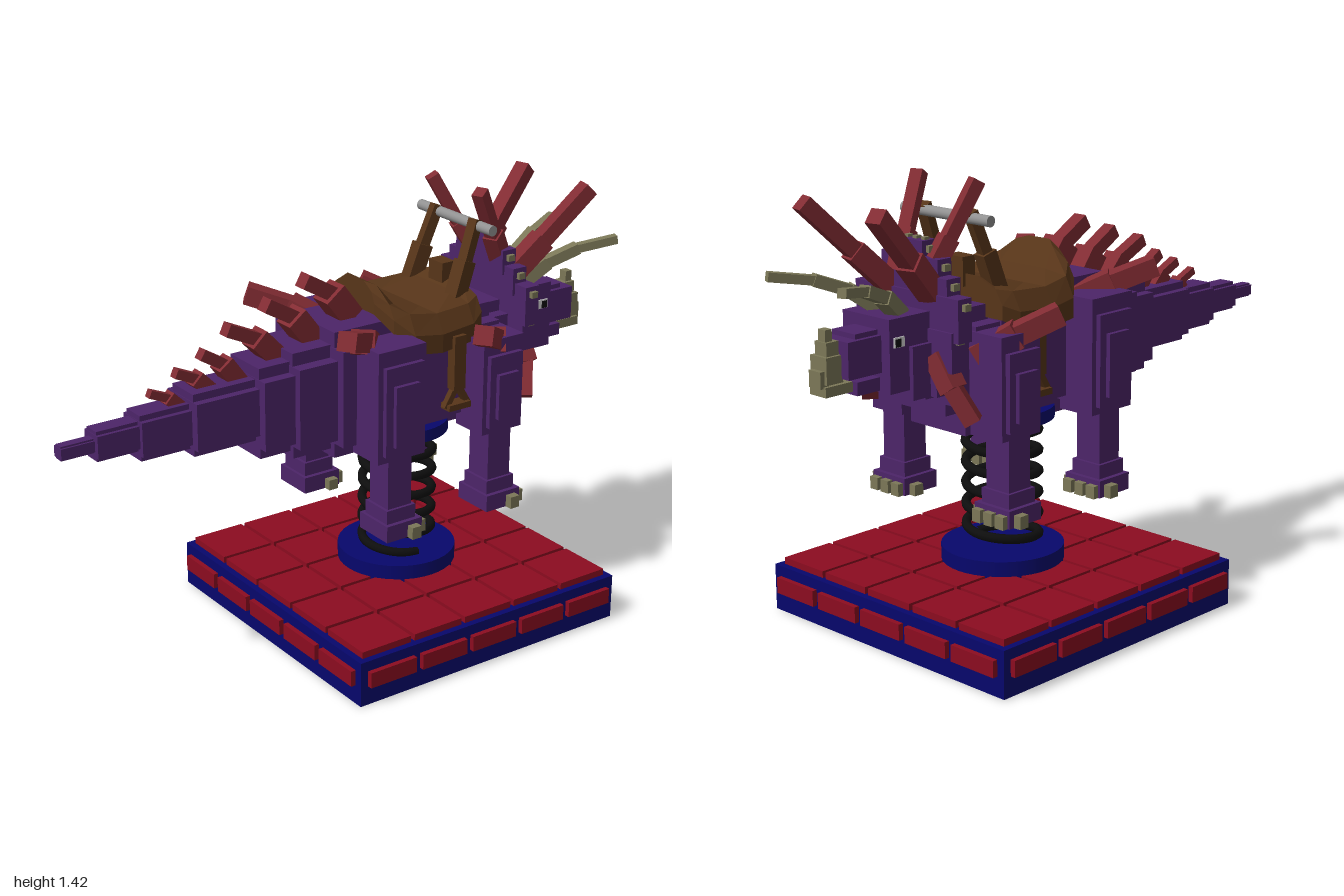
import * as THREE from 'three';

const mat = (name, color, extra = {}) => Object.assign(new THREE.MeshStandardMaterial({ color, ...extra }), { name });

export function createModel() {
  const root = new THREE.Group();
  root.name = 'springRider';
  const purple = mat('purple hide', 0x4d2569), red = mat('red spikes', 0x822c33), tile = mat('red tiles', 0x8c0c20);
  const blue = mat('blue base', 0x07076c), brown = mat('brown leather', 0x573519, { side: THREE.DoubleSide });
  const bone = mat('bone', 0x7c7858), grey = mat('grey metal', 0x929292);
  const black = mat('black steel', 0x0e0e0e), white = mat('eye white', 0xd8d8d8);

  const add = (name, geo, m, x = 0, y = 0, z = 0) => {
    const mesh = new THREE.Mesh(geo, m);
    mesh.name = name;
    mesh.position.set(x, y, z);
    root.add(mesh);
    return mesh;
  };
  // box from its limits on each axis
  const box = (name, m, x0, x1, y0, y1, z0, z1) =>
    add(name, new THREE.BoxGeometry(Math.abs(x1 - x0), y1 - y0, Math.abs(z1 - z0)), m, (x0 + x1) / 2, (y0 + y1) / 2, (z0 + z1) / 2);
  // the same box on both sides
  const pair = (name, m, x0, x1, ...r) => [-1, 1].forEach(s => box(name, m, s * x0, s * x1, ...r));
  // chain of shrinking bars through points [x, y, z, width]
  const spike = (name, m, pts, s = 1) => {
    for (let i = 0; i < pts.length - 1; i++) {
      const a = new THREE.Vector3(pts[i][0] * s, pts[i][1], pts[i][2]);
      const b = new THREE.Vector3(pts[i + 1][0] * s, pts[i + 1][1], pts[i + 1][2]);
      const w = pts[i][3];
      const mesh = add(name, new THREE.BoxGeometry(w, w, a.distanceTo(b) + 0.008), m);
      mesh.position.copy(a).add(b).multiplyScalar(0.5);
      mesh.lookAt(b);
    }
  };
  const spikes = (name, m, pts) => [-1, 1].forEach(s => spike(name, m, pts, s));

  // tiled base
  const cz = -0.225;
  box('base', blue, -0.51, 0.51, 0, 0.15, cz - 0.51, cz + 0.51);
  for (let i = -2; i <= 2; i++) {
    const p = i * 0.198;
    for (let j = -2; j <= 2; j++)
      box('topTile', tile, p - 0.092, p + 0.092, 0.15, 0.172, cz + j * 0.198 - 0.092, cz + j * 0.198 + 0.092);
    for (const s of [-1, 1]) {
      box('sideTile', tile, s * 0.51, s * 0.527, 0.064, 0.116, cz + p - 0.087, cz + p + 0.087);
      box('sideTile', tile, p - 0.087, p + 0.087, 0.064, 0.116, cz + s * 0.51, cz + s * 0.527);
    }
  }

  // spring between two discs
  add('lowerDisc', new THREE.CylinderGeometry(0.195, 0.195, 0.06, 40), blue, 0, 0.19, cz);
  add('upperDisc', new THREE.CylinderGeometry(0.165, 0.165, 0.04, 40), blue, 0, 0.655, cz);
  const coil = [];
  for (let i = 0; i <= 144; i++) {
    const a = (i / 144) * Math.PI * 2 * 6;
    coil.push(new THREE.Vector3(Math.cos(a) * 0.115, 0.225 + 0.41 * i / 144, cz + Math.sin(a) * 0.115));
  }
  add('spring', new THREE.TubeGeometry(new THREE.CatmullRomCurve3(coil), 300, 0.015, 8), black);

  // body and tail in stepped slices: z from, z to, half width, y low, y high
  const slices = [
    [0.88, 1.0, 0.022, 0.82, 0.865], [0.74, 0.89, 0.04, 0.795, 0.89], [0.57, 0.75, 0.055, 0.765, 0.91],
    [0.35, 0.58, 0.085, 0.745, 0.945], [0.24, 0.36, 0.115, 0.69, 0.985], [0.1, 0.25, 0.14, 0.67, 1.015],
    [-0.12, 0.11, 0.17, 0.645, 1.06], [-0.4, -0.11, 0.175, 0.665, 1.05], [-0.5, -0.39, 0.17, 0.65, 1.04],
    [-0.56, -0.49, 0.14, 0.72, 1.03], [-0.62, -0.55, 0.11, 0.78, 1.0]];
  for (const [z0, z1, w, y0, y1] of slices) {
    const h = (y1 - y0) * 0.12;
    box('body', purple, -w, w, y0 + h, y1 - h, z0, z1);
    box('body', purple, -w * 0.7, w * 0.7, y0, y1, z0 + 0.002, z1 - 0.002);
  }

  // legs, feet and claws
  for (const [z, hind] of [[-0.03, 1], [-0.428, 0]]) {
    const t = hind ? 1.03 : 0.98, d = hind ? 0.09 : 0.08;
    pair('thigh', purple, 0.15, 0.283, 0.665, t, z - d, z + d);
    pair('thigh', purple, 0.16, 0.3, 0.69, t - 0.05, z - d * 0.8, z + d * 0.8);
    pair('thigh', purple, 0.17, 0.315, 0.72, t - 0.11, z - d * 0.5, z + d * 0.5);
    pair('shin', purple, 0.18, 0.275, 0.49, 0.69, z - 0.045, z + 0.045);
    pair('ankle', purple, 0.17, 0.285, 0.45, 0.5, z - 0.055, z + 0.055);
    pair('foot', purple, 0.155, 0.3, 0.4, 0.455, z - 0.07, z + 0.065);
    for (const x of [0.18, 0.228, 0.276])
      pair('claw', bone, x - 0.017, x + 0.017, 0.4, 0.44, z - 0.09, z - 0.06);
    pair('claw', bone, 0.295, 0.326, 0.4, 0.44, z - 0.05, z - 0.015);
    pair('claw', bone, 0.13, 0.16, 0.4, 0.435, z - 0.05, z - 0.015);
  }

  // head, snout and beak
  box('head', purple, -0.1, 0.1, 0.83, 1.05, -0.775, -0.58);
  box('cheek', purple, -0.115, 0.115, 0.8, 0.96, -0.7, -0.58);
  box('snout', purple, -0.065, 0.065, 0.89, 1.0, -0.9, -0.76);
  box('nose', purple, -0.05, 0.05, 0.93, 1.015, -0.86, -0.76);
  box('jaw', purple, -0.055, 0.055, 0.835, 0.875, -0.86, -0.7);
  box('upperBeak', bone, -0.035, 0.035, 0.88, 0.96, -0.955, -0.895);
  box('beakTip', bone, -0.025, 0.025, 0.87, 0.92, -0.97, -0.94);
  box('lowerBeak', bone, -0.035, 0.035, 0.845, 0.875, -0.96, -0.85);
  box('noseHorn', bone, -0.025, 0.025, 0.96, 1.0, -0.945, -0.9);
  box('noseHorn', bone, -0.015, 0.015, 1.0, 1.035, -0.94, -0.915);
  pair('eyeWhite', white, 0.1, 0.104, 0.965, 0.995, -0.76, -0.72);
  pair('pupil', black, 0.103, 0.107, 0.967, 0.99, -0.755, -0.735);

  // stepped neck frill with studs: half width, y low, y high, z centre
  for (const [w, y0, y1, z] of [[0.05, 1.18, 1.245, -0.57], [0.12, 1.12, 1.2, -0.575], [0.165, 1.06, 1.15, -0.583],
    [0.22, 0.97, 1.1, -0.592], [0.2, 0.88, 1.0, -0.6], [0.14, 0.8, 0.9, -0.605]]) {
    box('frill', purple, -w, w, y0, y1, z - 0.027, z + 0.027);
    pair('frillStud', bone, w - 0.005, w + 0.014, y1 - 0.035, y1 - 0.015, z - 0.012, z + 0.012);
  }
  for (const x of [-0.035, 0, 0.035]) box('frillStud', bone, x - 0.008, x + 0.008, 1.24, 1.253, -0.58, -0.56);

  // horns
  spikes('browHorn', bone, [[0.04, 1.04, -0.68, 0.044], [0.075, 1.11, -0.77, 0.036], [0.11, 1.15, -0.87, 0.028], [0.16, 1.172, -0.995, 0]]);
  spikes('uprightHorn', red, [[0.065, 1.14, -0.59, 0.052], [0.09, 1.25, -0.53, 0.04], [0.122, 1.41, -0.445, 0]]);
  spikes('sweptHorn', red, [[0.09, 1.1, -0.6, 0.065], [0.12, 1.21, -0.71, 0.05], [0.158, 1.365, -0.865, 0]]);
  spikes('cheekHorn', red, [[0.12, 0.92, -0.61, 0.06], [0.18, 0.83, -0.605, 0.05], [0.225, 0.735, -0.57, 0]]);
  spikes('shoulderSpike', red, [[0.16, 0.9, -0.48, 0.08], [0.25, 0.97, -0.41, 0.062], [0.325, 1.025, -0.31, 0]]);
  spikes('hipSpike', red, [[0.11, 0.99, -0.02, 0.075], [0.2, 1.045, 0.06, 0.06], [0.275, 1.09, 0.17, 0]]);

  // row of back spikes, shrinking along the tail
  for (const [z, y, tz, ty, w] of [[-0.02, 1.06, 0.14, 1.2, 0.08], [0.12, 1.01, 0.28, 1.15, 0.075], [0.25, 0.98, 0.42, 1.1, 0.068],
    [0.39, 0.93, 0.51, 1.04, 0.058], [0.49, 0.925, 0.6, 1.0, 0.05], [0.59, 0.89, 0.69, 0.955, 0.042]])
    spike('backSpike', red, [[0, y, z, w], [0, y + (ty - y) * 0.6, z + (tz - z) * 0.4, w * 0.6], [0, ty, tz, 0]]);

  // saddle: arched cross-sections joined along z [z, half width, skirt, rim, middle]
  const rows = [[-0.41, 0.19, 1.0, 1.09, 1.12], [-0.36, 0.215, 0.965, 1.08, 1.1], [-0.23, 0.225, 0.955, 1.075, 1.075],
    [-0.13, 0.215, 0.965, 1.09, 1.1], [-0.08, 0.17, 1.03, 1.12, 1.165], [-0.055, 0.1, 1.08, 1.15, 1.175]];
  const pos = [], idx = [];
  for (const [z, w, lo, rim, mid] of rows)
    for (const [k, y] of [[1, lo], [1, (lo + rim) / 2], [0.85, rim], [0.45, mid], [-0.45, mid], [-0.85, rim], [-1, (lo + rim) / 2], [-1, lo]])
      pos.push(w * k, y, z);
  for (let r = 0; r < rows.length - 1; r++)
    for (let c = 0; c < 7; c++) {
      const a = r * 8 + c;
      idx.push(a, a + 8, a + 1, a + 1, a + 8, a + 9);
    }
  for (const o of [0, (rows.length - 1) * 8])
    for (let c = 1; c < 7; c++) o ? idx.push(o, o + c + 1, o + c) : idx.push(o, o + c, o + c + 1);
  const sg = new THREE.BufferGeometry();
  sg.setAttribute('position', new THREE.Float32BufferAttribute(pos, 3));
  sg.setIndex(idx);
  const saddleGeo = sg.toNonIndexed();
  saddleGeo.computeVertexNormals();
  add('saddle', saddleGeo, brown);
  box('pommel', brown, -0.035, 0.035, 1.08, 1.17, -0.42, -0.37);

  // stirrups on straps
  pair('strap', brown, 0.2, 0.235, 0.82, 1.0, -0.315, -0.27);
  pair('stirrupBar', brown, 0.195, 0.24, 0.755, 0.775, -0.335, -0.25);
  for (const z of [-0.25, -0.335])
    spikes('stirrupSide', brown, [[0.217, 0.835, -0.293, 0.02], [0.217, 0.765, z, 0]]);

  // handlebar
  spikes('handlePost', brown, [[0.115, 1.08, -0.36, 0.05], [0.11, 1.19, -0.4, 0.034], [0.1, 1.315, -0.448, 0]]);
  add('handlebar', new THREE.CylinderGeometry(0.017, 0.017, 0.37, 16), grey, 0, 1.3, -0.45).rotation.z = Math.PI / 2;

  return root;
}
